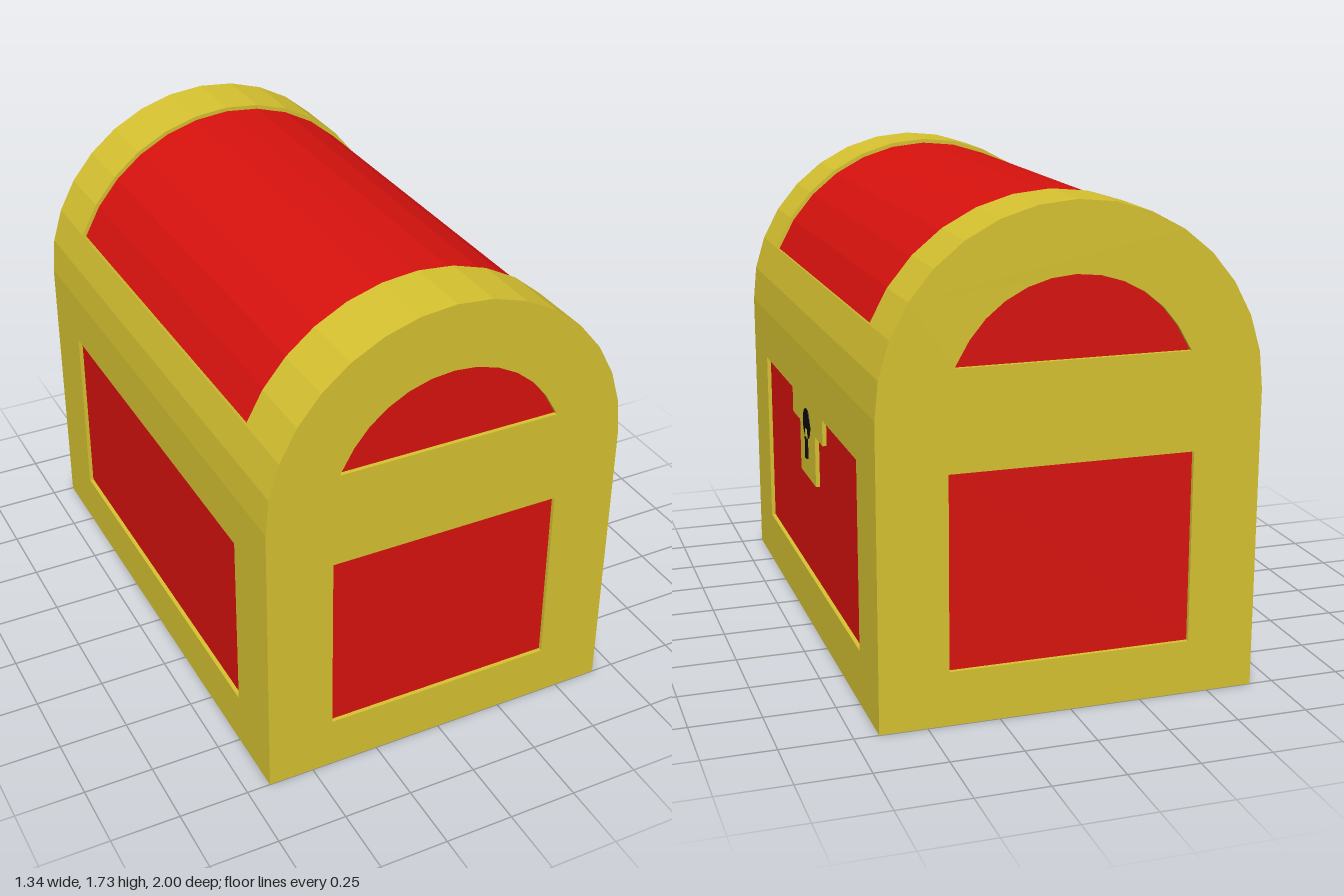
import * as THREE from 'three';

const R = 0.665, H = 1.06, T = 0.015, L = 1; // half width, arch centre height, panel recess, half length
const STEP = Math.PI / 16;

const gold = new THREE.MeshStandardMaterial({ color: 0xd6c230, flatShading: true });
const red = new THREE.MeshStandardMaterial({ color: 0xd8120e, flatShading: true });
const black = new THREE.MeshStandardMaterial({ color: 0x0b0b0b, flatShading: true });

// Points on the faceted arch from step a to step b
function arc(r, a, b) {
  const pts = [];
  for (let i = a; i !== b + Math.sign(b - a); i += Math.sign(b - a)) {
    pts.push([r * Math.cos(i * STEP), H + r * Math.sin(i * STEP)]);
  }
  return pts;
}
const rect = (w, y0, y1) => [[-w, y0], [w, y0], [w, y1], [-w, y1]];
const toVectors = (pts) => pts.map(([x, y]) => new THREE.Vector2(x, y));

// Outline with optional holes, extruded along +z
function slab(name, outline, holes, depth, material) {
  const shape = new THREE.Shape(toVectors(outline));
  for (const h of holes) shape.holes.push(new THREE.Path(toVectors(h)));
  const mesh = new THREE.Mesh(new THREE.ExtrudeGeometry(shape, { depth, bevelEnabled: false }), material);
  mesh.name = name;
  return mesh;
}

export function createModel() {
  const chest = new THREE.Group();
  chest.name = 'treasureChest';
  const inner = L - T;

  // Red core, seen through the openings of the gold frame
  const core = slab('redPanels', [[-R + T, T], [R - T, T], ...arc(R - T, 0, 16)], [], 2 * inner, red);
  core.position.z = -inner;
  chest.add(core);

  // Arched end frames with a square and a half-round opening
  const endOutline = [[-R, 0], [R, 0], ...arc(R, 0, 16)];
  const endHoles = [
    rect(0.425, 0.19, 0.865),
    [[-0.405, 1.21], [0.405, 1.21], ...arc(0.427, 3, 13)],
  ];
  for (const [name, z] of [['frontFrame', inner], ['backFrame', -L]]) {
    const end = slab(name, endOutline, endHoles, T, gold);
    end.position.z = z;
    chest.add(end);
  }

  // Side frames; the left one has a stepped lock plate cut into its opening
  const lockOpening = [
    [-0.75, 0.195], [0.75, 0.195], [0.75, 0.865], [0.25, 0.865], [0.25, 0.77], [0.125, 0.77],
    [0.125, 0.58], [-0.125, 0.58], [-0.125, 0.77], [-0.25, 0.77], [-0.25, 0.865], [-0.75, 0.865],
  ];
  const sides = [['leftFrame', 1, lockOpening], ['rightFrame', -1, rect(0.75, 0.195, 0.865)]];
  for (const [name, s, hole] of sides) {
    const side = slab(name, rect(inner, 0, H), [hole], T, gold);
    side.rotation.y = s * Math.PI / 2;
    side.position.x = s * (R - T);
    chest.add(side);
  }

  // Bottom frame
  const bottom = slab('bottomFrame', rect(R - T, -inner, inner), [rect(0.425, -0.75, 0.75)], T, gold);
  bottom.rotation.x = Math.PI / 2;
  bottom.position.y = T;
  chest.add(bottom);

  // Lid: arched bands at both ends, low rails along both sides
  const band = (a, b) => [...arc(R, a, b), ...arc(R - T, b, a)];
  const lidParts = [
    ['frontLidBand', 0, 16, 0.75, inner],
    ['backLidBand', 0, 16, -inner, -0.75],
    ['leftLidRail', 0, 2, -0.75, 0.75],
    ['rightLidRail', 14, 16, -0.75, 0.75],
  ];
  for (const [name, a, b, z0, z1] of lidParts) {
    const part = slab(name, band(a, b), [], z1 - z0, gold);
    part.position.z = z0;
    chest.add(part);
  }

  // Keyhole: round disc, gold notch and narrow slot
  const lock = new THREE.Group();
  lock.name = 'keyhole';
  const disc = new THREE.Mesh(new THREE.CylinderGeometry(0.057, 0.057, 0.006, 24), black);
  disc.name = 'keyholeDisc';
  disc.rotation.z = Math.PI / 2;
  disc.position.set(R, 0.785, 0);
  lock.add(disc);
  const bars = [['keyholeNotch', 0.01, 0.73, 0.765, 0.03, gold], ['keyholeSlot', 0.014, 0.653, 0.735, 0.025, black]];
  for (const [name, thick, y0, y1, width, material] of bars) {
    const bar = new THREE.Mesh(new THREE.BoxGeometry(thick, y1 - y0, width), material);
    bar.name = name;
    bar.position.set(R, (y0 + y1) / 2, 0);
    lock.add(bar);
  }
  lock.position.z = 0.006;
  chest.add(lock);

  return chest;
}
